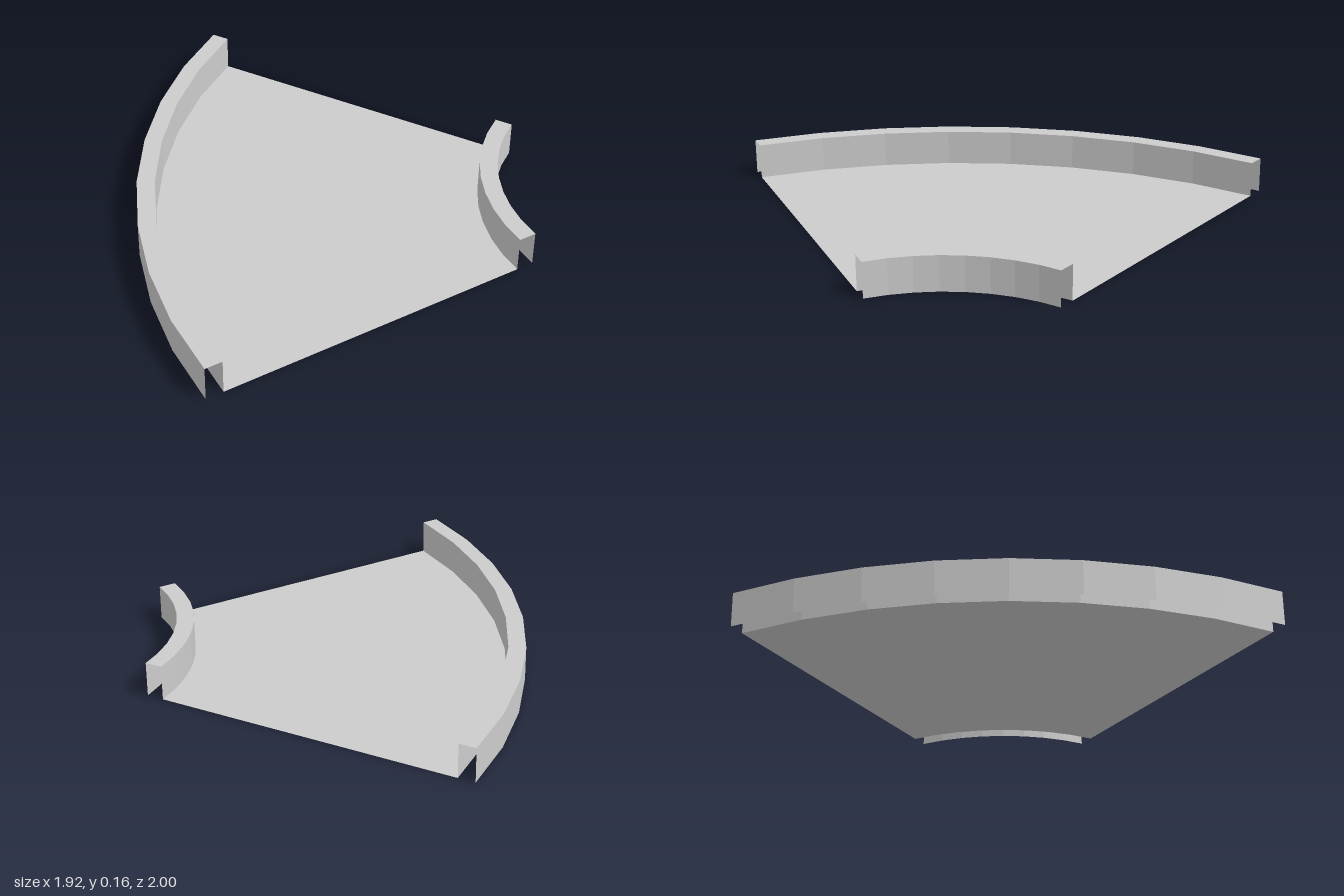
import * as THREE from 'three';

const SEGMENTS = 8;
const SWEEP = Math.PI / 3;      // the bend turns through 60 degrees
const CENTRE_X = 1.347;         // centre of the bend
const CENTRE_Z = 1;
const WALL = 0.077;             // kerb thickness
const HEIGHT = 0.155;
const INNER = 0.77;
const OUTER = 2.309;

export function createModel() {
  const model = new THREE.Group();
  model.name = 'curvedTrack';
  const grey = new THREE.MeshStandardMaterial({ color: 0xcccccc, flatShading: true, side: THREE.DoubleSide });
  grey.name = 'light grey';

  // Flat sector between two radii
  const sector = (name, r0, r1, y) => {
    const geo = new THREE.RingGeometry(r0, r1, SEGMENTS, 1, Math.PI - SWEEP, SWEEP);
    geo.rotateX(-Math.PI / 2);
    const mesh = new THREE.Mesh(geo, grey);
    mesh.name = name;
    mesh.position.y = y;
    return mesh;
  };

  // Upright curved sheet
  const sheet = (name, r) => {
    const geo = new THREE.CylinderGeometry(r, r, HEIGHT, SEGMENTS, 1, true, 1.5 * Math.PI - SWEEP, SWEEP);
    const mesh = new THREE.Mesh(geo, grey);
    mesh.name = name;
    mesh.position.y = HEIGHT / 2;
    return mesh;
  };

  // Hollow kerb, open at the bottom and at both ends
  const kerb = (name, r) => {
    const group = new THREE.Group();
    group.name = name;
    group.add(
      sheet('concaveSide', r),
      sheet('convexSide', r + WALL),
      sector('top', r, r + WALL, HEIGHT)
    );
    return group;
  };

  const bend = new THREE.Group();
  bend.name = 'bend';
  bend.position.set(CENTRE_X, 0, CENTRE_Z);
  bend.add(
    sector('floor', INNER + WALL, OUTER - WALL, 0),
    kerb('innerKerb', INNER),
    kerb('outerKerb', OUTER - WALL)
  );
  model.add(bend);
  return model;
}
